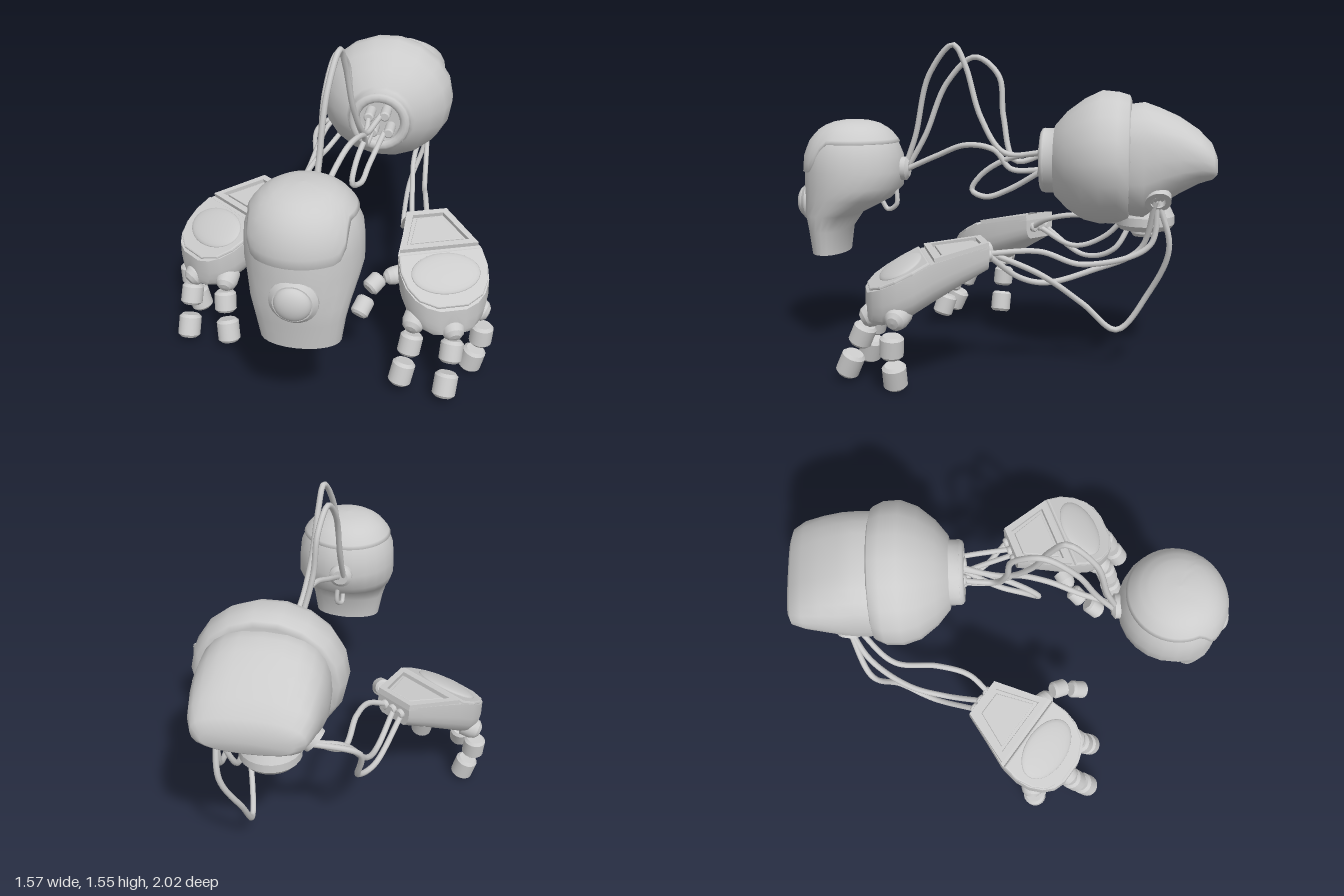
import * as THREE from 'three';
import { toCreasedNormals } from 'three/addons/utils/BufferGeometryUtils.js';

const V = (a) => new THREE.Vector3(...a);
const UP = new THREE.Vector3(0, 1, 0);
const mat = new THREE.MeshStandardMaterial({ color: 0xcccccc, side: THREE.DoubleSide });

function add(parent, name, geo, pos = [0, 0, 0], dir) {
  const m = new THREE.Mesh(geo, mat);
  m.name = name;
  m.position.set(...pos);
  if (dir) m.quaternion.setFromUnitVectors(UP, V(dir).normalize());
  parent.add(m);
  return m;
}

function group(parent, name, pos, pitch = 0, yaw = 0) {
  const g = new THREE.Group();
  g.name = name;
  g.position.set(...pos);
  g.rotation.set(pitch, yaw, 0);
  if (parent) parent.add(g);
  return g;
}

// closed skin over rings; fn(row, angle, index) gives a point, rings ascend along y
function skin(rows, n, fn) {
  const pos = [], idx = [];
  for (let r = 0; r < rows; r++)
    for (let i = 0; i < n; i++) {
      pos.push(...fn(r, (i / n) * Math.PI * 2, i));
      if (r === rows - 1) continue;
      const a = r * n + i, b = r * n + ((i + 1) % n);
      idx.push(a, a + n, b, b, a + n, b + n);
    }
  const g = new THREE.BufferGeometry();
  g.setAttribute('position', new THREE.Float32BufferAttribute(pos, 3));
  g.setIndex(idx);
  g.computeVertexNormals();
  return g;
}

// rows of [y, z centre, z radius, x radius]; power below 1 squares the section
function loft(rows, n, power = 1) {
  const p = (v) => Math.sign(v) * Math.abs(v) ** power;
  return skin(rows.length, n, (r, t) => {
    const [y, c, a, b] = rows[r];
    return [b * p(Math.cos(t)), y, c + a * p(Math.sin(t))];
  });
}

// turned part with crisp edges: each profile corner is doubled
function turned(profile, n = 20) {
  const pts = profile.flatMap(([r, y], i) =>
    i && i < profile.length - 1 ? [new THREE.Vector2(r, y), new THREE.Vector2(r, y + 1e-5)] : [new THREE.Vector2(r, y)]);
  return new THREE.LatheGeometry(pts, n);
}

const knob = (r, h) => turned([[0, -h / 2], [r * 0.75, -h / 2], [r, -h / 2 + r * 0.25], [r, h / 2 - r * 0.25], [r * 0.75, h / 2], [0, h / 2]]);

function cable(parent, name, pts, r = 0.014) {
  const curve = new THREE.CatmullRomCurve3(pts.map(V), false, 'centripetal');
  return add(parent, name, new THREE.TubeGeometry(curve, 56, r, 8));
}

function buildHead() {
  const head = group(null, 'head', [0.26, 0, 0.725], 0, Math.PI / 6);
  const rows = [
    [0.5, 0.13, 0, 0], [0.5, 0.13, 0.09, 0.175], [0.5, 0.13, 0.09, 0.175], [0.62, 0.13, 0.105, 0.195],
    [0.7, 0.11, 0.14, 0.215], [0.78, 0.035, 0.22, 0.24], [0.84, 0.005, 0.25, 0.255], [0.92, 0, 0.255, 0.255],
    [1.0, 0, 0.248, 0.248], [1.07, 0, 0.22, 0.22], [1.12, 0, 0.18, 0.18], [1.155, 0, 0.125, 0.125], [1.17, 0, 0.065, 0.065], [1.174, 0, 0, 0]];
  add(head, 'skullAndJaw', loft(rows, 24));

  // raised skull plate, low over the brow and high at the back
  const section = (y) => {
    let i = 2;
    while (i < rows.length - 2 && rows[i + 1][0] < y) i++;
    const [p, q] = [rows[i], rows[i + 1]];
    const k = THREE.MathUtils.clamp((y - p[0]) / (q[0] - p[0]), 0, 1);
    return p.map((v, j) => v + (q[j] - v) * k);
  };
  add(head, 'skullPlate', skin(12, 48, (r, t) => {
    const seam = 1.06 - 0.145 * THREE.MathUtils.smoothstep(Math.sin(t), 0.39, 0.77);
    const y = seam + (1.174 - seam) * Math.sin(Math.max(0, r - 1) / 10 * Math.PI / 2);
    const [, c, a, b] = section(y), s = r ? 1.03 : 0.96;
    return [b * s * Math.cos(t), y + (r ? 0.005 : 0), c + a * s * Math.sin(t)];
  }));

  // single eye
  add(head, 'eyeRim', turned([[0, 0], [0.105, 0], [0.105, 0.045], [0.085, 0.065], [0, 0.065]], 24), [0, 0.755, 0.2], [0, 0, 1]);
  const lens = add(head, 'eyeLens', new THREE.SphereGeometry(0.08, 24, 12, 0, Math.PI * 2, 0, Math.PI / 2), [0, 0.755, 0.26], [0, 0, 1]);
  lens.scale.y = 0.55;
  // cable port at the back
  add(head, 'neckPort', turned([[0, 0], [0.06, 0], [0.06, 0.05], [0.04, 0.065], [0, 0.065]]), [0, 0.93, -0.22], [0, 0, -1]);
  cable(head, 'neckLoop', [[0.02, 0.83, -0.22], [0.02, 0.75, -0.22], [0, 0.72, -0.17], [0, 0.78, -0.13]], 0.012);
  return head;
}

function buildBody() {
  const body = group(null, 'body', [-0.265, 0, -0.52], 0, Math.PI / 6);
  // sections listed as [z, height, vertical radius, side radius]
  const along = (rows, n, power) => loft(rows.map(([g, y, a, b]) => [g, -y, a, b]), n, power).rotateX(Math.PI / 2);

  add(body, 'chestShell', along([
    [-0.06, 1.02, 0, 0], [-0.06, 1.02, 0.27, 0.28], [-0.05, 1.02, 0.295, 0.315], [0, 1.02, 0.31, 0.34], [0.08, 1.02, 0.318, 0.343],
    [0.16, 1.01, 0.29, 0.315], [0.24, 1.005, 0.235, 0.25], [0.3, 1, 0.17, 0.175], [0.3, 1, 0.155, 0.155], [0.35, 1, 0.155, 0.155],
    [0.35, 1, 0.155, 0.155], [0.36, 1, 0.11, 0.11], [0.36, 1, 0.11, 0.11], [0.28, 1, 0.11, 0.11], [0.28, 1, 0.11, 0.11], [0.28, 1, 0, 0]], 18));
  const ring = add(body, 'neckRing', new THREE.TorusGeometry(0.13, 0.025, 10, 24), [0, 1, 0.35]);
  ring.scale.z = 0.8;
  add(body, 'backShell', along([
    [-0.45, 0.995, 0, 0], [-0.45, 0.995, 0.05, 0.19], [-0.43, 1.01, 0.085, 0.235], [-0.37, 1.03, 0.125, 0.26], [-0.28, 1.035, 0.18, 0.275],
    [-0.19, 1.025, 0.23, 0.285], [-0.12, 1.01, 0.27, 0.285], [-0.06, 1.01, 0.262, 0.285], [0.02, 1.02, 0.24, 0.26], [0.02, 1.02, 0, 0]], 24, 0.8));

  // neck plugs inside the socket
  for (const [x, y] of [[0.03, 1.04], [-0.05, 1.03], [-0.03, 0.95], [0.05, 0.95]])
    add(body, 'neckPlug', knob(0.026, 0.1), [x, y, 0.33], [0, 0, 1]);

  // round mount under the belly
  add(body, 'bellyMount', turned([[0, 0.64], [0.055, 0.64], [0.065, 0.655], [0.065, 0.67], [0.12, 0.675], [0.14, 0.7], [0.14, 0.74], [0.11, 0.8], [0, 0.8]], 24), [-0.03, 0, -0.13]);

  // arm sockets
  for (const s of [-1, 1]) {
    const dir = [s * 0.75, -0.6, -0.1];
    add(body, 'armSocket', turned([[0, 0], [0.065, 0], [0.06, 0.07], [0.035, 0.07], [0.035, 0.04], [0, 0.04]]), [s * 0.18, 0.88, -0.18], dir);
  }
  return body;
}

// flat part from a half outline [x, z], mirrored across x; y grows upward
function slab(half, depth, bevel, hole) {
  const mirror = (h) => [...h, ...h.slice().reverse().map(([x, z]) => [-x, z])].map(([x, z]) => new THREE.Vector2(x, -z));
  const shape = new THREE.Shape(mirror(half));
  if (hole) shape.holes.push(new THREE.Path(mirror(hole)));
  const g = new THREE.ExtrudeGeometry(shape, { depth, bevelEnabled: bevel > 0, bevelSize: bevel, bevelThickness: bevel, bevelOffset: -bevel, bevelSegments: 2 });
  return g.rotateX(-Math.PI / 2);
}

// palm stations [z, top, half width, depth] and one cross-section of flat top and rounded underside
const PALM = [[0, -0.02, 0, 0], [0, -0.02, 0.1, 0.11], [0.14, -0.045, 0.15, 0.15], [0.27, -0.07, 0.2, 0.188], [0.36, -0.115, 0.21, 0.195],
  [0.43, -0.15, 0.198, 0.188], [0.49, -0.18, 0.165, 0.175], [0.53, -0.2, 0.12, 0.155], [0.55, -0.215, 0.06, 0.13], [0.55, -0.215, 0, 0]];
const SECTION = [[1, 0], [1, -0.45], [0.95, -0.68], [0.86, -0.88], [0.7, -1], [-0.7, -1], [-0.86, -0.88], [-0.95, -0.68], [-1, -0.45], [-1, 0]];

// joints listed as knuckle, middle, tip, for a hand with its thumb on +x
const FINGERS = [
  { name: 'outerFinger', r: 0.055, out: [-0.8, -0.3, 0.5], at: [[-0.165, -0.315, 0.43], [-0.169, -0.44, 0.453], [-0.135, -0.585, 0.438]] },
  { name: 'middleFinger', r: 0.055, out: [0, -0.45, 0.9], at: [[-0.005, -0.335, 0.535], [0.009, -0.425, 0.569], [0.047, -0.57, 0.625]] },
  { name: 'indexFinger', r: 0.055, out: [0.5, -0.4, 0.75], at: [[0.165, -0.32, 0.465], [0.186, -0.415, 0.494], [0.229, -0.555, 0.518]] },
  { name: 'thumb', r: 0.044, out: [1, -0.1, 0.15], at: [[0.215, -0.21, 0.23], [0.308, -0.225, 0.255], [0.379, -0.3, 0.325]] }];

function buildHand(name, side, pos, yaw) {
  const hand = group(null, name, pos, 0, yaw);
  const palm = skin(PALM.length, SECTION.length, (r, t, i) => {
    const [z, top, w, d] = PALM[r];
    return [w * SECTION[i][0], z, -(top + d * SECTION[i][1])];
  }).rotateX(Math.PI / 2);
  add(hand, 'palm', toCreasedNormals(palm, 0.75));

  // framed trapezoid panel over the wrist, nearly level
  const back = group(hand, 'wristCover', [0, -0.02, 0], 0.18);
  add(back, 'wristFrame', slab([[0.1, 0], [0.19, 0.265]], 0.03, 0, [[0.075, 0.03], [0.15, 0.235]]), [0, -0.01, 0]);
  add(back, 'wristPanel', slab([[0.06, 0.045], [0.13, 0.22]], 0.02, 0.004), [0, -0.012, 0]);
  // sloping plate with a domed oval over the knuckles
  const front = group(hand, 'knuckleCover', [0, -0.07, 0.27], 0.48);
  add(front, 'knucklePlate', slab([[0.2, 0.01], [0.208, 0.1], [0.19, 0.185], [0.15, 0.255], [0.07, 0.3]], 0.02, 0.008), [0, -0.012, 0]);
  add(front, 'ovalDome', new THREE.SphereGeometry(1, 28, 12), [0, 0.014, 0.13]).scale.set(0.165, 0.025, 0.11);
  // wrist plugs
  for (const x of [-0.05, 0, 0.05]) add(hand, 'wristPlug', knob(0.024, 0.06), [x, -0.07, 0.01], [0, 0, 1]);

  for (const f of FINGERS) {
    const [k, m, t] = f.at.map(([x, y, z]) => new THREE.Vector3(x * side, y, z));
    const out = [f.out[0] * side, f.out[1], f.out[2]];
    add(hand, f.name + 'Knuckle', turned([[0, -0.05], [f.r, -0.05], [f.r, 0], [f.r * 0.85, 0.025], [f.r * 0.5, 0.042], [0, 0.046]]), k.toArray(), out);
    const bend = m.clone().sub(k).lerp(t.clone().sub(m), 0.5);
    add(hand, f.name + 'Middle', knob(f.r * 0.98, f.r * 1.9), m.toArray(), bend.toArray());
    add(hand, f.name + 'Tip', knob(f.r, f.r * 2.1), t.toArray(), t.clone().sub(m).toArray());
  }
  return hand;
}

export function createModel() {
  const model = group(null, 'floatingRobot', [0, 0, 0]);
  model.add(buildHead(), buildBody());
  model.add(buildHand('rightHand', 1, [-0.5, 0.66, 0.11], -0.14));
  model.add(buildHand('leftHand', -1, [0.27, 0.66, -0.14], 0.864));

  // cables from chest to head
  const neck = [
    [[0.12, 0.95, 0.5], [0.1, 1.1, 0.45], [0.085, 1.4, 0.37], [0.05, 1.55, 0.24], [0.03, 1.45, 0.18], [0.01, 1.2, 0.1], [-0.02, 1.03, -0.02], [-0.08, 1.03, -0.2]],
    [[0.11, 0.93, 0.5], [0.07, 1.1, 0.41], [0.02, 1.36, 0.31], [-0.03, 1.49, 0.17], [-0.07, 1.4, 0.05], [-0.07, 1.2, 0.02], [-0.06, 0.99, -0.06], [-0.14, 1.03, -0.2]],
    [[0.14, 0.92, 0.5], [0.08, 1.0, 0.33], [0.04, 1.06, 0.17], [0, 1.04, 0.02], [-0.04, 0.95, -0.05], [-0.12, 0.95, -0.2]],
    [[-0.06, 0.95, -0.22], [-0.02, 0.85, -0.05], [0.02, 0.81, 0.06], [0.03, 0.84, 0.14], [0.01, 0.92, 0.09], [-0.03, 1.0, -0.04], [-0.08, 1.04, -0.22]]];
  neck.forEach((p) => cable(model, 'neckCable', p));

  // cables from arm sockets to wrists
  const arms = [
    [[-0.19, 0.84, -0.78], [-0.23, 0.62, -0.82], [-0.25, 0.38, -0.7], [-0.19, 0.2, -0.57], [-0.08, 0.33, -0.45], [0.08, 0.48, -0.32], [0.24, 0.59, -0.13]],
    [[-0.19, 0.84, -0.78], [-0.17, 0.63, -0.75], [0, 0.54, -0.5], [0.12, 0.6, -0.34], [0.27, 0.59, -0.15]],
    [[-0.17, 0.84, -0.78], [-0.2, 0.6, -0.68], [-0.08, 0.5, -0.5], [0.05, 0.44, -0.33], [0.15, 0.47, -0.25], [0.3, 0.59, -0.18]],
    [[-0.53, 0.83, -0.6], [-0.67, 0.72, -0.4], [-0.6, 0.5, -0.3], [-0.58, 0.45, -0.13], [-0.55, 0.59, 0.12]],
    [[-0.53, 0.83, -0.6], [-0.61, 0.76, -0.44], [-0.6, 0.56, -0.24], [-0.55, 0.5, -0.08], [-0.5, 0.59, 0.12]],
    [[-0.51, 0.83, -0.58], [-0.55, 0.66, -0.35], [-0.47, 0.68, -0.15], [-0.43, 0.65, 0], [-0.45, 0.59, 0.12]]];
  arms.forEach((p) => cable(model, 'armCable', p));
  return model;
}
